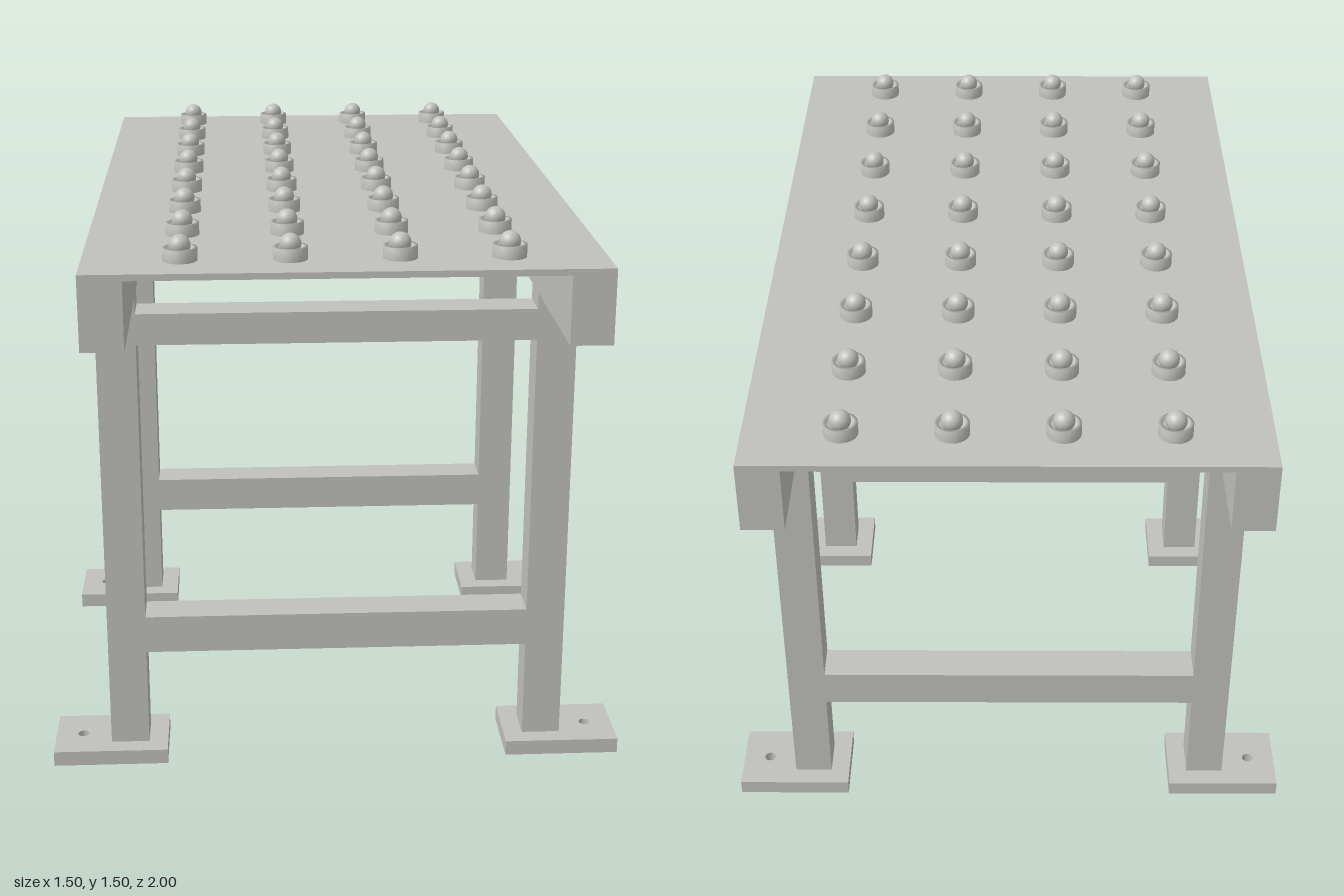
import * as THREE from 'three';

const steel = new THREE.MeshStandardMaterial({ color: 0xc0c0bd });
steel.name = 'grey steel';

function part(parent, name, geometry, x = 0, y = 0, z = 0) {
  const mesh = new THREE.Mesh(geometry, steel);
  mesh.name = name;
  mesh.position.set(x, y, z);
  parent.add(mesh);
  return mesh;
}

export function createModel() {
  const model = new THREE.Group();
  model.name = 'ballTransferTable';

  // Table top: thin deck with a deep rail along each side, one profile
  const profile = new THREE.Shape([
    [-0.6, 1.262], [-0.5, 1.262], [-0.5, 1.425], [0.5, 1.425],
    [0.5, 1.262], [0.6, 1.262], [0.6, 1.44], [-0.6, 1.44],
  ].map(([x, y]) => new THREE.Vector2(x, y)));
  part(model, 'tableTop', new THREE.ExtrudeGeometry(profile, { depth: 2, bevelEnabled: false }), 0, 0, -1);

  // Foot plate with a bolt hole near its outer end
  const plate = new THREE.Shape([
    [-0.15, -0.1], [0.15, -0.1], [0.15, 0.1], [-0.15, 0.1],
  ].map(([x, y]) => new THREE.Vector2(x, y)));
  plate.holes.push(new THREE.Path().absarc(0.078, 0, 0.015, 0, Math.PI * 2, true));
  const footGeometry = new THREE.ExtrudeGeometry(plate, { depth: 0.04, bevelEnabled: false, curveSegments: 16 });
  footGeometry.rotateX(-Math.PI / 2);

  // Two frames, each with a pair of legs and two cross bars
  const legGeometry = new THREE.BoxGeometry(0.1, 1.222, 0.1);
  const lowerGeometry = new THREE.BoxGeometry(1, 0.1, 0.1);
  const upperGeometry = new THREE.BoxGeometry(1, 0.08, 0.1);
  for (const z of [-0.5, 0.5]) {
    const frame = new THREE.Group();
    frame.name = z > 0 ? 'frontFrame' : 'backFrame';
    frame.position.z = z;
    model.add(frame);
    for (const side of [-1, 1]) {
      part(frame, 'leg', legGeometry, side * 0.55, 0.651);
      const foot = part(frame, 'footPlate', footGeometry, side * 0.6);
      if (side < 0) foot.rotation.y = Math.PI;
    }
    part(frame, 'lowerCrossBar', lowerGeometry, 0, 0.352);
    part(frame, 'upperCrossBar', upperGeometry, 0, 1.182);
  }

  // Ball units: a cup with a shallow seat around each ball
  const cup = new THREE.Group();
  const cupPoints = [[0.04, 0], [0.04, 0.03], [0.031, 0.03], [0.031, 0.018], [0, 0.018]];
  const cupGeometry = new THREE.LatheGeometry(cupPoints.map(([r, y]) => new THREE.Vector2(r, y)), 24);
  const ballGeometry = new THREE.SphereGeometry(0.025, 24, 16);
  cup.name = 'ballUnits';
  model.add(cup);
  for (let row = 0; row < 8; row++) {
    for (let column = 0; column < 4; column++) {
      const x = -0.375 + column * 0.25;
      const z = -0.875 + row * 0.25;
      part(cup, 'ballCup', cupGeometry, x, 1.44, z);
      part(cup, 'ball', ballGeometry, x, 1.475, z);
    }
  }
  return model;
}
